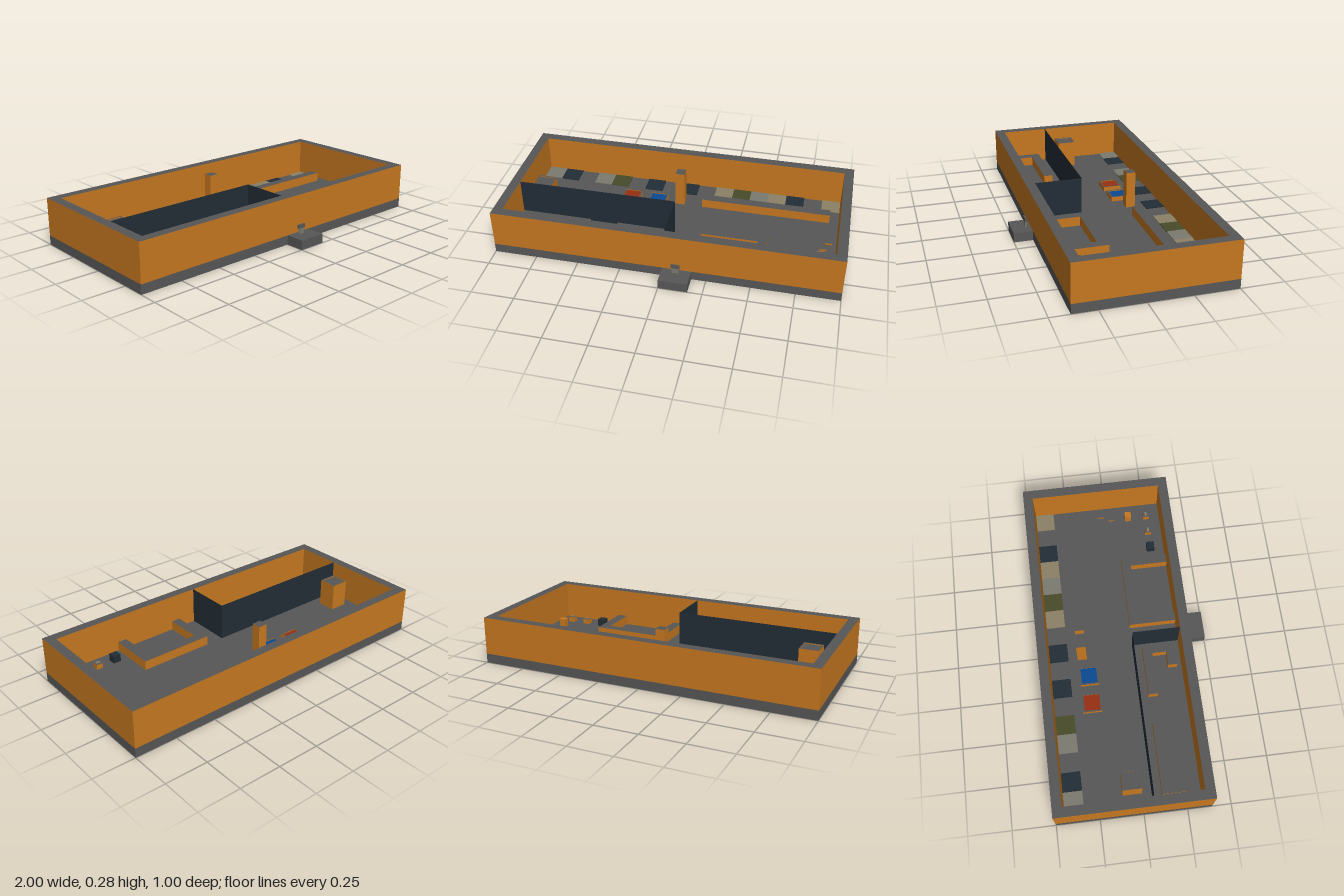
import * as THREE from 'three';

const U = 1 / 18; // the building is laid out on a square module

const paint = (name, color) => Object.assign(new THREE.MeshStandardMaterial({ color }), { name });

export function createModel() {
  const root = new THREE.Group();
  root.name = 'walledBuilding';

  const grey = paint('stone grey', 0x575757);
  const orange = paint('wall orange', 0xc67820);
  const navy = paint('dark navy', 0x222d36);
  const beige = paint('beige', 0x8b8166);
  const ash = paint('light ash', 0x7a7a70);
  const olive = paint('olive', 0x474b29);
  const red = paint('brick red', 0x962e10);
  const blue = paint('strong blue', 0x0b4891);
  const sheet = paint('partition navy', 0x222d36);
  sheet.side = THREE.DoubleSide;

  // orange sides with grey top and underside
  const masonry = [orange, orange, grey, grey, orange, orange];

  // box from its bounds in modules: x and z count from the back left corner
  function block(name, x0, x1, y0, y1, z0, z1, material = masonry, parent = root) {
    const geometry = new THREE.BoxGeometry((x1 - x0) * U, (y1 - y0) * U, (z1 - z0) * U);
    const mesh = new THREE.Mesh(geometry, material);
    mesh.position.set((x0 + x1) / 2 * U - 1, (y0 + y1) / 2 * U, (z0 + z1) / 2 * U - 0.5);
    mesh.name = name;
    parent.add(mesh);
    return mesh;
  }

  function group(name) {
    const g = new THREE.Group();
    g.name = name;
    root.add(g);
    return g;
  }

  // foundation and entrance step
  block('floorSlab', 0, 36, 0, 1, 0, 16, grey);
  block('entranceStep', 18, 21, 0, 1, 16, 18, grey);

  // outer walls as one ring, grey on the top
  const outline = new THREE.Shape();
  outline.moveTo(-1, -0.5);
  outline.lineTo(1, -0.5).lineTo(1, 16 * U - 0.5).lineTo(-1, 16 * U - 0.5).closePath();
  const room = new THREE.Path();
  room.moveTo(U - 1, U - 0.5);
  room.lineTo(U - 1, 15 * U - 0.5).lineTo(1 - U, 15 * U - 0.5).lineTo(1 - U, U - 0.5).closePath();
  outline.holes.push(room);
  const ring = new THREE.ExtrudeGeometry(outline, { depth: 4 * U, bevelEnabled: false });
  ring.rotateX(Math.PI / 2); // shape y becomes z
  ring.translate(0, 5 * U, 0);
  const walls = new THREE.Mesh(ring, [grey, orange]);
  walls.name = 'outerWalls';
  root.add(walls);

  // thin partitions around the front corner room
  const partitions = group('partitions');
  const long = new THREE.Mesh(new THREE.PlaneGeometry(17 * U, 4 * U), sheet);
  long.name = 'longPartition';
  long.position.set(9.5 * U - 1, 3 * U, 10 * U - 0.5);
  const short = new THREE.Mesh(new THREE.PlaneGeometry(5 * U, 4 * U), sheet);
  short.name = 'shortPartition';
  short.rotation.y = Math.PI / 2;
  short.position.set(0, 3 * U, 12.5 * U - 0.5);
  partitions.add(long, short);

  // row of coloured floor tiles along the back wall
  const tiles = group('floorTiles');
  const tileColours = [ash, navy, null, ash, olive, null, navy, null, navy, null,
    beige, olive, ash, beige, navy, null, beige];
  tileColours.forEach((m, i) => {
    if (m) block('floorTile', 1 + 2 * i, 3 + 2 * i, 1, 1.08, 1, 3, m, tiles);
  });

  // square basins: body, raised rim and filling
  function basin(name, x, z, top, filling) {
    const g = group(name);
    const t = 0.16;
    block('basinBody', x, x + 2, 1, top - 0.2, z, z + 2, masonry, g);
    for (const s of [0, 2 - t]) {
      block('rimSide', x + s, x + s + t, top - 0.2, top, z, z + 2, masonry, g);
      block('rimEnd', x + t, x + 2 - t, top - 0.2, top, z + s, z + s + t, masonry, g);
    }
    block('filling', x + t, x + 2 - t, top - 0.2, top - 0.08, z + t, z + 2 - t, filling, g);
  }
  basin('redBasin', 11, 4, 1.5, red);
  basin('blueBasin', 14, 4, 1.5, blue);
  basin('tallBasin', 2, 7, 4, grey);

  // pillar and long counter
  block('pillar', 17, 18, 1, 5, 4, 5);
  block('longCounter', 20, 34, 1, 2, 4, 5);

  // three-sided counter against the front wall
  const bar = group('frontCounter');
  block('counterTop', 20, 28, 1, 2, 10, 11, masonry, bar);
  block('counterSide', 20, 21, 1, 2, 11, 15, masonry, bar);
  block('counterSide', 27, 28, 1, 2, 11, 15, masonry, bar);

  // benches in the corner room
  const benches = group('benches');
  block('leftBench', 1.5, 9, 1, 2, 11, 12, masonry, benches);
  block('leftBenchReturn', 1.5, 2.5, 1, 2, 12, 13.5, masonry, benches);
  block('rightBench', 12, 17.5, 1, 2, 11, 12, masonry, benches);
  block('rightBenchReturn', 16.5, 17.5, 1, 2, 12, 14.5, masonry, benches);
  block('rightBenchEnd', 15, 16.5, 1, 2, 13.5, 14.5, masonry, benches);

  // small stools and ornaments in the right corner
  const stools = group('stools');
  const stool = (x, z, h, w, m) => block('stool', x - w, x + w, 1, 1 + h, z - w, z + w, m, stools);
  stool(33.45, 11.45, 0.9, 0.35, orange);
  stool(29.4, 13.5, 0.8, 0.42, navy);
  for (const x of [31.45, 33.45]) {
    stool(x, 13.5, 0.55, 0.35, masonry);
    block('ornament', x - 0.25, x + 0.25, 1.55, 1.65, 13.4, 13.6, beige, stools);
  }
  stool(33.7, 9.5, 0.2, 0.38, masonry);
  stool(34.2, 8.4, 0.2, 0.38, masonry);

  // signpost on the entrance step
  const sign = group('signpost');
  block('post', 19.1, 19.8, 1, 1.6, 16.4, 16.55, ash, sign);
  block('board', 19, 19.9, 1.6, 2, 16.38, 16.57, grey, sign);

  return root;
}
